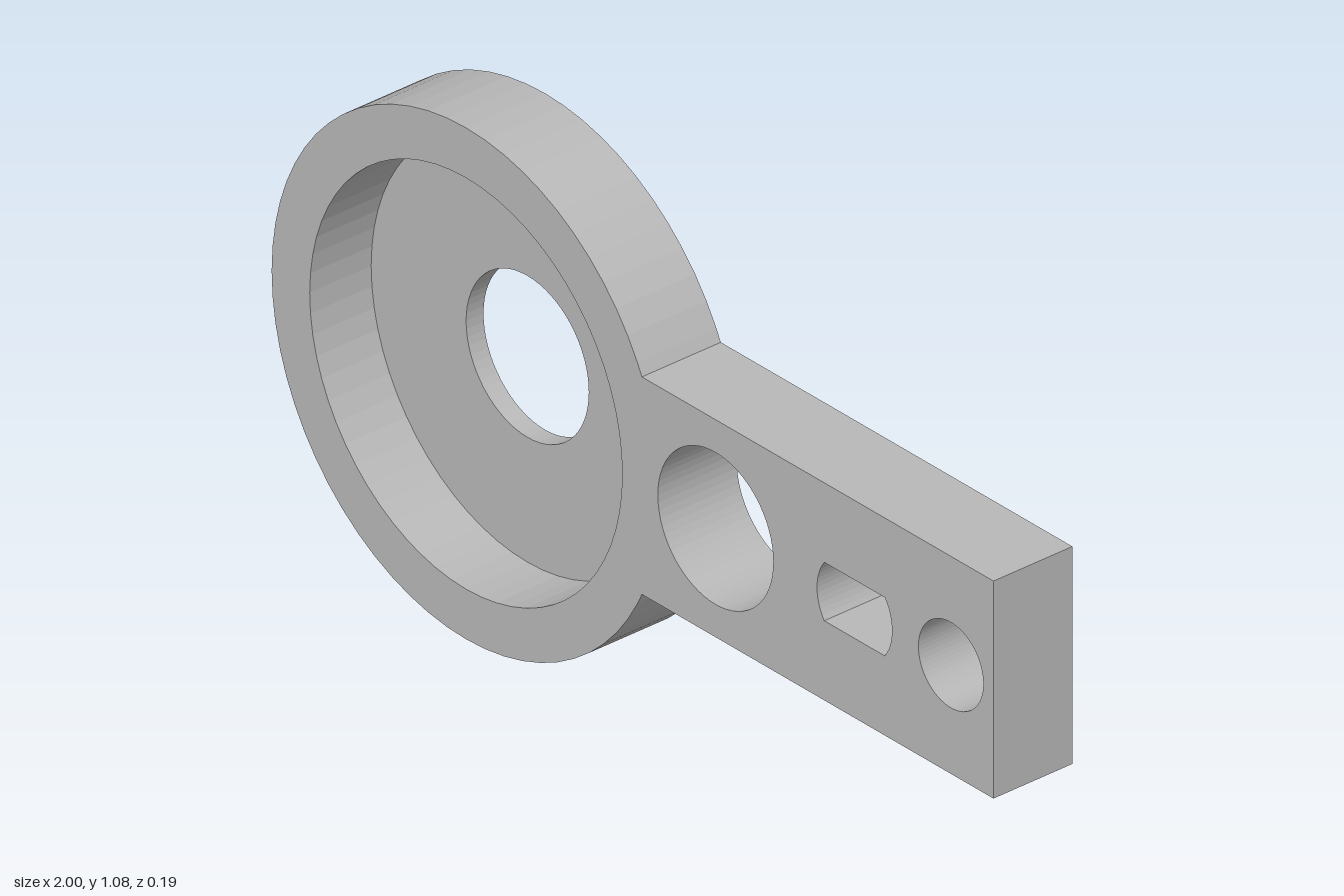
import * as THREE from 'three';

const SEGMENTS = 64;
const DEPTH = 0.19;        // full thickness of the part
const FLOOR = 0.042;       // thickness of the recess floor
const R = 0.5385;          // outer radius of the round head
const CX = -0.4615, CY = R; // centre of the round head
const BAR = 0.229;         // half height of the arm
const RECESS = 0.433;

// Points of a faceted circle
function circlePoints(cx, cy, r) {
  return Array.from({ length: SEGMENTS }, (_, i) => {
    const a = (i / SEGMENTS) * Math.PI * 2;
    return new THREE.Vector2(cx + r * Math.cos(a), cy + r * Math.sin(a));
  });
}

const circleHole = (cx, cy, r) => new THREE.Path(circlePoints(cx, cy, r));

// Slot with two flat sides and two bowed ends
function slotHole(cx, cy, r, halfHeight) {
  const bow = Math.asin(halfHeight / r);
  const points = [];
  for (const start of [0, Math.PI]) {
    for (let i = 0; i <= 12; i++) {
      const a = start - bow + (2 * bow * i) / 12;
      points.push(new THREE.Vector2(cx + r * Math.cos(a), cy + r * Math.sin(a)));
    }
  }
  return new THREE.Path(points);
}

function extruded(name, shape, depth, material) {
  const geometry = new THREE.ExtrudeGeometry(shape, { depth, bevelEnabled: false });
  geometry.translate(0, 0, -DEPTH / 2);
  const mesh = new THREE.Mesh(geometry, material);
  mesh.name = name;
  return mesh;
}

export function createModel() {
  const group = new THREE.Group();
  group.name = 'mountingBracket';
  const grey = new THREE.MeshStandardMaterial({ color: 0xb8b8b8, flatShading: true });
  grey.name = 'plain grey';

  // Round head and straight arm in one outline
  const neck = CX + Math.sqrt(R * R - BAR * BAR);
  const body = new THREE.Shape([
    new THREE.Vector2(neck, CY - BAR),
    new THREE.Vector2(1, CY - BAR),
    new THREE.Vector2(1, CY + BAR),
    new THREE.Vector2(neck, CY + BAR),
    ...circlePoints(CX, CY, R).slice(5, SEGMENTS - 4),
  ]);
  body.holes.push(
    circleHole(CX, CY, RECESS),
    circleHole(0.23, CY, 0.16),
    slotHole(0.615, CY, 0.104, 0.0615),
    circleHole(0.882, CY, 0.09),
  );
  group.add(extruded('headRimAndArm', body, DEPTH, grey));

  // Floor of the recess with its central hole, flush with the back
  const floor = new THREE.Shape(circlePoints(CX, CY, RECESS));
  floor.holes.push(circleHole(CX, CY, 0.17));
  group.add(extruded('recessFloor', floor, FLOOR, grey));

  return group;
}
